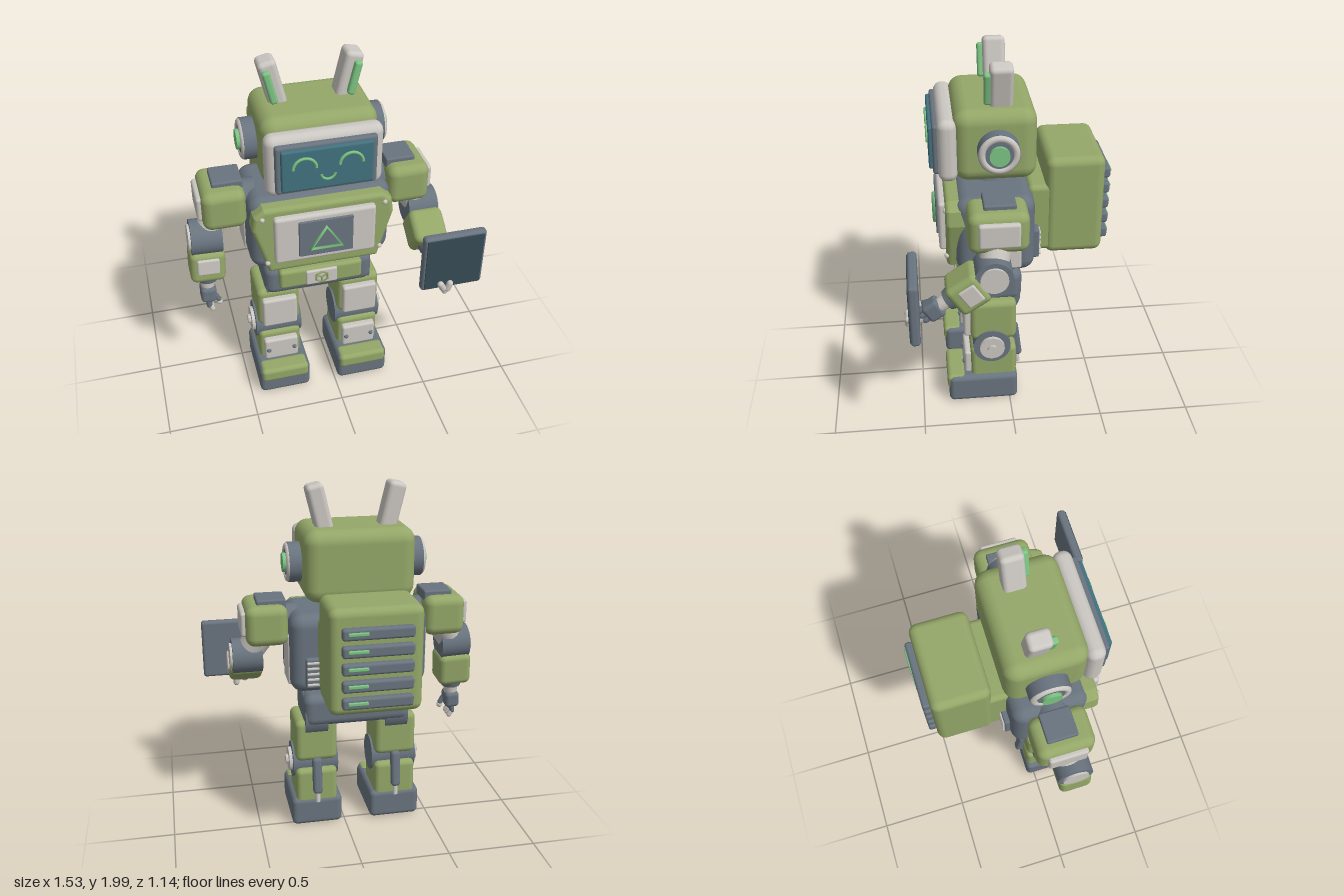
import * as THREE from 'three';
import { RoundedBoxGeometry } from 'three/addons/geometries/RoundedBoxGeometry.js';

const mat = (name, color) => Object.assign(new THREE.MeshStandardMaterial({ color }), { name });
const green = mat('moss green', 0x94a768);
const white = mat('warm white', 0xcbc7c2);
const slate = mat('slate grey', 0x69747f);
const teal = mat('screen teal', 0x41727f);
const mint = mat('glow green', 0x7cc483);
const dark = mat('tablet glass', 0x364a54);

function add(parent, name, geo, material, [x, y, z] = [0, 0, 0], rot = [0, 0, 0]) {
  const m = new THREE.Mesh(geo, material);
  m.name = name;
  m.position.set(x, y, z);
  m.rotation.set(...rot);
  parent.add(m);
  return m;
}
function box(parent, name, material, [w, h, d], pos, r = 0.02, rot) {
  const radius = Math.min(r, Math.min(w, h, d) * 0.48);
  return add(parent, name, new RoundedBoxGeometry(w, h, d, 3, radius), material, pos, rot);
}
// Cylinder lying along x
function disc(parent, name, material, r, len, pos) {
  return add(parent, name, new THREE.CylinderGeometry(r, r, len, 32).rotateZ(Math.PI / 2), material, pos);
}
function group(parent, name, pos = [0, 0, 0], rot = [0, 0, 0]) {
  const g = new THREE.Group();
  g.name = name;
  g.position.set(...pos);
  g.rotation.set(...rot);
  parent.add(g);
  return g;
}
const ball = (p, name, m, r, pos) => add(p, name, new THREE.SphereGeometry(r, 16, 12), m, pos);

function buildHead(root) {
  const head = group(root, 'head');
  box(head, 'headShell', green, [0.6, 0.39, 0.43], [0, 1.577, 0.065], 0.075);
  box(head, 'faceFrame', white, [0.6, 0.34, 0.1], [0, 1.56, 0.31], 0.045);
  box(head, 'screenBezel', slate, [0.515, 0.27, 0.05], [0, 1.56, 0.36], 0.015);
  box(head, 'screen', teal, [0.465, 0.23, 0.04], [0, 1.562, 0.385], 0.01);
  for (const s of [-1, 1]) {
    add(head, 'eye', new THREE.TorusGeometry(0.058, 0.008, 8, 20, Math.PI), mint, [s * 0.117, 1.575, 0.408]);
    // Round ear unit
    disc(head, 'earBase', slate, 0.108, 0.09, [s * 0.32, 1.574, 0.055]);
    add(head, 'earRing', new THREE.TorusGeometry(0.087, 0.019, 12, 36), white, [s * 0.362, 1.574, 0.055], [0, Math.PI / 2, 0]);
    disc(head, 'earCore', slate, 0.072, 0.02, [s * 0.365, 1.574, 0.055]);
    disc(head, 'earLight', mint, 0.052, 0.04, [s * 0.374, 1.574, 0.055]);
    // Leaning antenna with a light strip
    const antenna = group(head, 'antenna', [s * 0.196, 1.865, 0.03], [0, 0, -s * 0.235]);
    box(antenna, 'antennaPost', white, [0.095, 0.26, 0.12], [0, 0, 0], 0.025);
    box(antenna, 'antennaLight', mint, [0.04, 0.18, 0.04], [s * 0.018, 0.005, 0.069], 0.014);
  }
  add(head, 'mouth', new THREE.TorusGeometry(0.036, 0.007, 8, 16, Math.PI), mint, [0, 1.536, 0.408], [0, 0, Math.PI]);
  add(head, 'neck', new THREE.CylinderGeometry(0.125, 0.16, 0.12, 32), slate, [0, 1.36, 0.07]);
}

function buildTorso(root) {
  const torso = group(root, 'torso');
  box(torso, 'torsoShell', slate, [0.76, 0.445, 0.42], [0, 1.098, 0.075], 0.07);
  // Tapered chest armour
  const pts = [[-0.33, 1.3], [0.33, 1.3], [0.37, 1.265], [0.38, 1.19], [0.3, 0.9], [-0.3, 0.9], [-0.38, 1.19], [-0.37, 1.265]];
  const shape = new THREE.Shape(pts.map(([x, y]) => new THREE.Vector2(x * 0.93, 1.1 + (y - 1.1) * 0.89)));
  add(torso, 'chestArmour', new THREE.ExtrudeGeometry(shape, {
    depth: 0.07, bevelEnabled: true, bevelThickness: 0.025, bevelSize: 0.024, bevelSegments: 4,
  }), green, [0, 0, 0.24]);
  box(torso, 'chestPanel', white, [0.54, 0.285, 0.05], [0, 1.118, 0.345], 0.018);
  box(torso, 'chestInset', slate, [0.29, 0.22, 0.03], [0, 1.12, 0.365], 0.006);
  const light = new THREE.TorusGeometry(0.098, 0.012, 8, 3).rotateZ(Math.PI / 2).scale(1, 0.87, 1);
  add(torso, 'chestLight', light, mint, [0, 1.1, 0.385]);
  for (const s of [-1, 1]) {
    ball(torso, 'rivet', white, 0.014, [s * 0.325, 1.25, 0.333]);
    ball(torso, 'rivet', white, 0.014, [s * 0.305, 0.965, 0.333]);
    box(torso, 'sidePanel', white, [0.03, 0.29, 0.17], [s * 0.375, 1.055, 0.025], 0.014);
    // Back vents beside the pack
    box(torso, 'vent', slate, [0.09, 0.17, 0.04], [s * 0.26, 1.005, -0.145], 0.01);
    for (let i = 0; i < 5; i++) box(torso, 'ventSlat', white, [0.08, 0.014, 0.016], [s * 0.26, 0.943 + i * 0.031, -0.166], 0.005);
  }
  add(torso, 'waist', new THREE.CylinderGeometry(0.153, 0.153, 0.16, 32), slate, [0, 0.845, 0.07]);
  add(torso, 'waistRing', new THREE.TorusGeometry(0.15, 0.02, 10, 36), slate, [0, 0.865, 0.07], [Math.PI / 2, 0, 0]);

  const hips = group(root, 'hips');
  box(hips, 'hipBlock', slate, [0.61, 0.19, 0.31], [0, 0.735, 0.08], 0.05);
  box(hips, 'belt', green, [0.465, 0.12, 0.07], [0, 0.77, 0.24], 0.02);
  box(hips, 'buckle', white, [0.175, 0.092, 0.03], [0, 0.772, 0.273], 0.008);
  add(hips, 'buckleRing', new THREE.TorusGeometry(0.036, 0.006, 6, 6).rotateZ(Math.PI / 6), green, [0, 0.772, 0.289]);
  for (let i = 0; i < 3; i++) {
    const a = Math.PI / 6 + i * Math.PI * 2 / 3;
    box(hips, 'buckleSpoke', green, [0.036, 0.01, 0.01], [Math.cos(a) * 0.018, 0.772 + Math.sin(a) * 0.018, 0.289], 0.002, [0, 0, a]);
  }
}

function buildBackpack(root) {
  const pack = group(root, 'backpack');
  box(pack, 'packMount', green, [0.47, 0.395, 0.14], [0, 1.118, -0.18], 0.03);
  box(pack, 'packShell', green, [0.49, 0.57, 0.315], [0, 1.185, -0.363], 0.045);
  for (let i = 0; i < 5; i++) {
    const y = 0.982 + i * 0.092;
    box(pack, 'packSlat', slate, [0.37, 0.062, 0.045], [0, y, -0.537], 0.015);
    box(pack, 'packLight', mint, [0.105, 0.02, 0.016], [0.105, y + 0.004, -0.56], 0.006);
  }
}

function buildLeg(root, s) {
  const leg = group(root, s > 0 ? 'leftLeg' : 'rightLeg', [s * 0.232, 0, 0]);
  disc(leg, 'hipJoint', slate, 0.14, 0.13, [0, 0.68, 0.075]);
  box(leg, 'thigh', green, [0.24, 0.255, 0.26], [0, 0.54, 0.09], 0.035);
  box(leg, 'thighPlate', white, [0.195, 0.19, 0.05], [0, 0.527, 0.23], 0.015);
  disc(leg, 'knee', slate, 0.105, 0.262, [0, 0.376, 0.1]);
  disc(leg, 'kneeCap', white, 0.07, 0.02, [s * 0.139, 0.376, 0.1]);
  add(leg, 'kneeBolt', new THREE.CylinderGeometry(0.028, 0.028, 0.03, 6).rotateZ(Math.PI / 2), white, [s * 0.15, 0.376, 0.1]);
  box(leg, 'shin', green, [0.24, 0.22, 0.26], [0, 0.25, 0.09], 0.03);
  box(leg, 'shinPlate', white, [0.195, 0.145, 0.05], [0, 0.245, 0.23], 0.015);
  for (const k of [-1, 1]) ball(leg, 'shinRivet', slate, 0.013, [k * 0.075, 0.245, 0.255]);
  // Piston behind the knee
  box(leg, 'piston', slate, [0.055, 0.22, 0.055], [0, 0.325, -0.045], 0.02, [0.12, 0, 0]);
  add(leg, 'pistonRod', new THREE.CylinderGeometry(0.014, 0.014, 0.08, 12), white, [0, 0.2, -0.055], [0.12, 0, 0]);
  box(leg, 'foot', slate, [0.295, 0.172, 0.395], [0, 0.089, 0.152], 0.03);
  box(leg, 'toeCap', green, [0.275, 0.088, 0.11], [0, 0.135, 0.303], 0.025);
}

function buildArm(root, s, bend, tilt, plateOnSide) {
  const arm = group(root, s > 0 ? 'leftArm' : 'rightArm');
  disc(arm, 'shoulderJoint', slate, 0.095, 0.16, [s * 0.4, 1.24, 0.08]);
  box(arm, 'shoulder', green, [0.23, 0.225, 0.31], [s * 0.495, 1.25, 0.08], 0.05);
  box(arm, 'shoulderInset', slate, [0.16, 0.23, 0.165], [s * 0.465, 1.272, 0.07], 0.01);
  box(arm, 'shoulderPlate', white, [0.04, 0.135, 0.21], [s * 0.614, 1.257, 0.08], 0.015);
  // Upper arm runs from shoulder to elbow
  const a = new THREE.Vector3(s * 0.5, 1.2, 0.08), e = new THREE.Vector3(s * 0.598, 1.04, 0.113);
  const dir = a.clone().sub(e);
  const upper = add(arm, 'upperArm', new THREE.CylinderGeometry(0.085, 0.075, dir.length(), 24), white, a.clone().add(e).multiplyScalar(0.5).toArray());
  upper.quaternion.setFromUnitVectors(new THREE.Vector3(0, 1, 0), dir.normalize());

  const fore = group(arm, 'forearm', e.toArray(), [bend, 0, tilt]);
  disc(fore, 'elbow', slate, 0.098, 0.165, [0, 0, 0]);
  disc(fore, 'elbowCap', white, 0.072, 0.02, [s * 0.085, 0, 0]);
  box(fore, 'forearmShell', green, [0.19, 0.19, 0.185], [0, -0.155, 0], 0.035);
  if (plateOnSide) box(fore, 'forearmPlate', white, [0.025, 0.095, 0.11], [s * 0.092, -0.14, 0], 0.01);
  else box(fore, 'forearmPlate', white, [0.12, 0.095, 0.025], [0, -0.14, 0.092], 0.01);
  add(fore, 'cuff', new THREE.CylinderGeometry(0.065, 0.055, 0.04, 24), slate, [0, -0.262, 0]);
  add(fore, 'wrist', new THREE.CylinderGeometry(0.042, 0.038, 0.07, 20), white, [0, -0.3, 0]);
  // Hand
  box(fore, 'palm', slate, [0.085, 0.095, 0.105], [0, -0.37, 0], 0.022);
  for (const k of [-1, 0, 1]) {
    const z = k * 0.034;
    add(fore, 'finger', new THREE.CapsuleGeometry(0.016, 0.035, 4, 10), slate, [0, -0.425, z]);
    add(fore, 'fingertip', new THREE.CapsuleGeometry(0.015, 0.02, 4, 10), white, [-s * 0.012, -0.46, z], [0, 0, -s * 0.5]);
  }
  add(fore, 'thumb', new THREE.CapsuleGeometry(0.015, 0.04, 4, 10), slate, [-s * 0.045, -0.395, 0.03], [0, 0, -s * 0.5]);
  ball(fore, 'thumbTip', white, 0.017, [-s * 0.058, -0.428, 0.03]);
}

function buildTablet(root) {
  const tablet = group(root, 'tablet', [0.655, 0.945, 0.517]);
  box(tablet, 'tabletCase', slate, [0.345, 0.35, 0.05], [0, 0, 0], 0.018);
  box(tablet, 'tabletScreen', dark, [0.315, 0.32, 0.009], [0, 0, 0.024], 0.003);
  // Fingers gripping the lower edge
  for (const [x, y, z, r] of [[-0.06, -0.15, 0.035, 0.5], [-0.02, -0.155, 0.035, -0.3], [-0.02, -0.21, -0.01, 0]]) {
    add(tablet, 'gripFinger', new THREE.CapsuleGeometry(0.018, 0.035, 4, 10), white, [x, y, z], [0, 0, r]);
  }
}

export function createModel() {
  const model = new THREE.Group();
  model.name = 'robot';
  const root = group(model, 'robotBody', [-0.067, 0, 0]);
  buildHead(root);
  buildTorso(root);
  buildBackpack(root);
  for (const s of [-1, 1]) buildLeg(root, s);
  buildArm(root, -1, -0.06, -0.04, false);
  buildArm(root, 1, -0.98, 0, true);
  buildTablet(root);
  return model;
}
